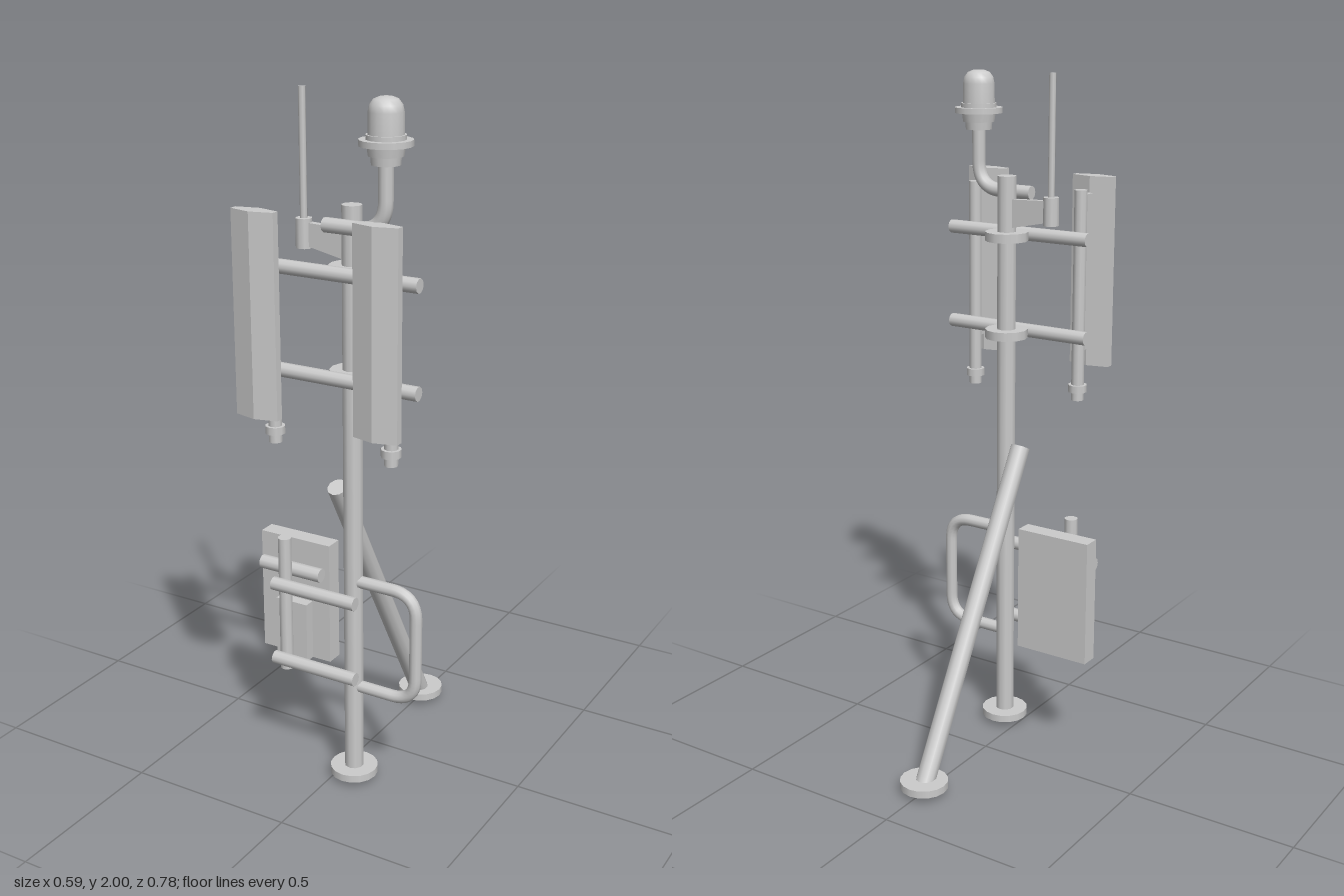
import * as THREE from 'three';

const material = new THREE.MeshStandardMaterial({ color: 0xcccccc });
const V = (x, y, z) => new THREE.Vector3(x, y, z);

function add(parent, name, geometry, x = 0, y = 0, z = 0) {
  const mesh = new THREE.Mesh(geometry, material);
  mesh.name = name;
  mesh.position.set(x, y, z);
  parent.add(mesh);
  return mesh;
}

// Capped cylinder between two points
function pipe(parent, name, a, b, r, sides = 10) {
  const dir = b.clone().sub(a);
  const mid = a.clone().add(b).multiplyScalar(0.5);
  const mesh = add(parent, name, new THREE.CylinderGeometry(r, r, dir.length(), sides), mid.x, mid.y, mid.z);
  mesh.quaternion.setFromUnitVectors(V(0, 1, 0), dir.normalize());
  return mesh;
}

// Tube along straight runs joined by rounded corners
function bentTube(parent, name, points, bend, r) {
  const path = new THREE.CurvePath();
  let from = points[0];
  for (let i = 1; i < points.length - 1; i++) {
    const p = points[i];
    const inPt = p.clone().add(points[i - 1].clone().sub(p).setLength(bend));
    const outPt = p.clone().add(points[i + 1].clone().sub(p).setLength(bend));
    path.add(new THREE.LineCurve3(from, inPt));
    path.add(new THREE.QuadraticBezierCurve3(inPt, p, outPt));
    from = outPt;
  }
  path.add(new THREE.LineCurve3(from, points[points.length - 1]));
  return add(parent, name, new THREE.TubeGeometry(path, 48, r, 10, false));
}

export function createModel() {
  const model = new THREE.Group();
  model.name = 'antennaMast';
  const px = 0.054, pz = 0.19;

  // Main pole, rear strut and their feet
  pipe(model, 'pole', V(px, 0.02, pz), V(px, 1.71, pz), 0.028);
  pipe(model, 'strut', V(0, 0.014, -0.323), V(0, 0.911, 0.186), 0.029);
  pipe(model, 'poleFoot', V(px, 0.018, pz), V(px, 0.04, pz), 0.07, 16);
  pipe(model, 'strutFoot', V(0, 0.018, -0.32), V(0, 0.04, -0.32), 0.07, 16);

  // Upper cross arms with pole clamps
  for (const y of [1.538, 1.252]) {
    pipe(model, 'crossArm', V(-0.18, y, 0.253), V(0.29, y, 0.253), 0.02);
    pipe(model, 'poleClamp', V(px, y - 0.013, pz), V(px, y + 0.013, pz), 0.063, 12);
  }

  // Two panel antennas on their own pipes
  const outline = new THREE.Shape([
    [-0.065, -0.372], [0, -0.388], [0.065, -0.372],
    [0.065, -0.35], [0, -0.335], [-0.065, -0.35],
  ].map(([x, y]) => new THREE.Vector2(x, y)));
  for (const x of [-0.134, 0.229]) {
    const antenna = new THREE.Group();
    antenna.name = 'panelAntenna';
    antenna.position.x = x;
    model.add(antenna);
    const panel = new THREE.ExtrudeGeometry(outline, { depth: 0.557, bevelEnabled: false });
    panel.rotateX(-Math.PI / 2);
    add(antenna, 'panel', panel, 0, 1.15, 0);
    add(antenna, 'panelBracket', new THREE.BoxGeometry(0.025, 0.455, 0.05), 0, 1.432, 0.318);
    pipe(antenna, 'panelPipe', V(0, 1.1, 0.287), V(0, 1.673, 0.287), 0.019);
    pipe(antenna, 'connectorCollar', V(0, 1.08, 0.287), V(0, 1.102, 0.287), 0.028);
    pipe(antenna, 'connectorTip', V(0, 1.055, 0.287), V(0, 1.08, 0.287), 0.019);
  }

  // Whip antenna on a tapered bracket
  const wedge = new THREE.Shape([
    new THREE.Vector2(-0.095, 1.59), new THREE.Vector2(0.04, 1.562),
    new THREE.Vector2(0.04, 1.645), new THREE.Vector2(-0.095, 1.65),
  ]);
  add(model, 'whipBracket', new THREE.ExtrudeGeometry(wedge, { depth: 0.02, bevelEnabled: false }), 0, 0, 0.179);
  pipe(model, 'whipMount', V(-0.094, 1.58, 0.19), V(-0.094, 1.66, 0.19), 0.023);
  pipe(model, 'whip', V(-0.094, 1.66, 0.19), V(-0.094, 2, 0.19), 0.01, 8);

  // Beacon on a bent arm
  const bx = 0.182, bz = 0.237;
  bentTube(model, 'beaconArm', [V(0, 1.66, bz), V(bx, 1.66, bz), V(bx, 1.84, bz)], 0.08, 0.02);
  add(model, 'beaconArmCap', new THREE.CircleGeometry(0.02, 10), 0, 1.66, bz).rotation.y = -Math.PI / 2;
  const lathe = (name, pts) => add(model, name,
    new THREE.LatheGeometry(pts.map(([r, y]) => new THREE.Vector2(r, y)), 16), bx, 0, bz);
  lathe('beaconBase', [[0, 1.83], [0.038, 1.83], [0.038, 1.83], [0.04, 1.852], [0.04, 1.852],
    [0.046, 1.852], [0.046, 1.852], [0.05, 1.88]]);
  pipe(model, 'beaconFlange', V(bx, 1.877, bz), V(bx, 1.893, bz), 0.07, 16);
  pipe(model, 'beaconRing', V(bx, 1.89, bz), V(bx, 1.905, bz), 0.052, 16);
  lathe('beaconDome', [[0.047, 1.9], [0.046, 1.96], [0.042, 1.978], [0.032, 1.991], [0.017, 1.997], [0, 1.998]]);

  // Handrail loop on the left
  bentTube(model, 'handrail', [V(px, 0.64, pz), V(0.256, 0.64, pz),
    V(0.256, 0.306, pz), V(px, 0.306, pz)], 0.075, 0.018);

  // Equipment box on the right, with arms and vertical pipe
  for (const y of [0.585, 0.345]) {
    pipe(model, 'boxArm', V(-0.195, y, 0.225), V(0.08, y, 0.225), 0.02);
  }
  pipe(model, 'boxPipe', V(-0.177, 0.3, 0.19), V(-0.177, 0.72, 0.19), 0.02);
  pipe(model, 'boxRail', V(-0.279, 0.607, 0.154), V(-0.076, 0.607, 0.154), 0.021);
  add(model, 'equipmentBox', new THREE.BoxGeometry(0.233, 0.375, 0.052), -0.178, 0.508, 0.108);
  add(model, 'boxBackPlate', new THREE.BoxGeometry(0.105, 0.185, 0.035), -0.174, 0.413, 0.149);
  return model;
}
